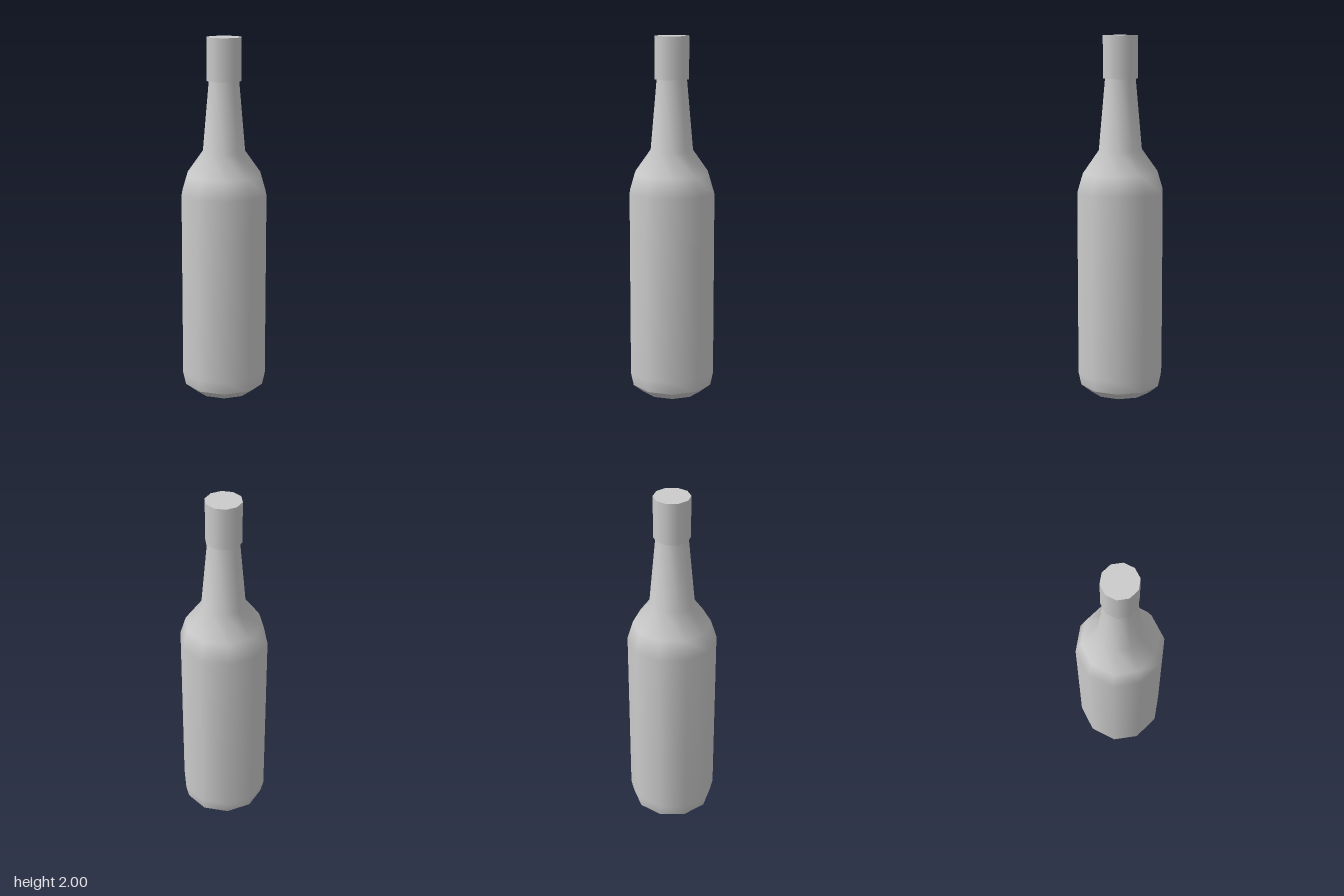
import * as THREE from 'three';

const SIDES = 10;

export function createModel() {
  const model = new THREE.Group();
  model.name = 'bottle';
  const material = new THREE.MeshStandardMaterial({ color: 0xcccccc });

  // Each profile is a list of [radius, height], running up the outside
  const turned = (name, profile) => {
    const points = profile.map(([r, y]) => new THREE.Vector2(r, y));
    const mesh = new THREE.Mesh(new THREE.LatheGeometry(points, SIDES), material);
    mesh.name = name;
    model.add(mesh);
  };

  // Flat foot and the bevel above it, split so their edges stay sharp
  turned('baseBottom', [[0, 0], [0.17, 0]]);
  turned('baseBevel', [[0.17, 0], [0.228, 0.047]]);

  // Body, shoulder and tapering neck, shaded smoothly as one skin
  turned('body', [
    [0.228, 0.047], [0.244, 0.12], [0.244, 1.15],
    [0.212, 1.255], [0.122, 1.38], [0.086, 1.77],
  ]);

  // Cap: overhanging lip, straight wall and flat top
  turned('capLip', [[0.08, 1.768], [0.098, 1.768]]);
  turned('capWall', [[0.098, 1.768], [0.098, 2]]);
  turned('capTop', [[0.098, 2], [0, 2]]);

  return model;
}
